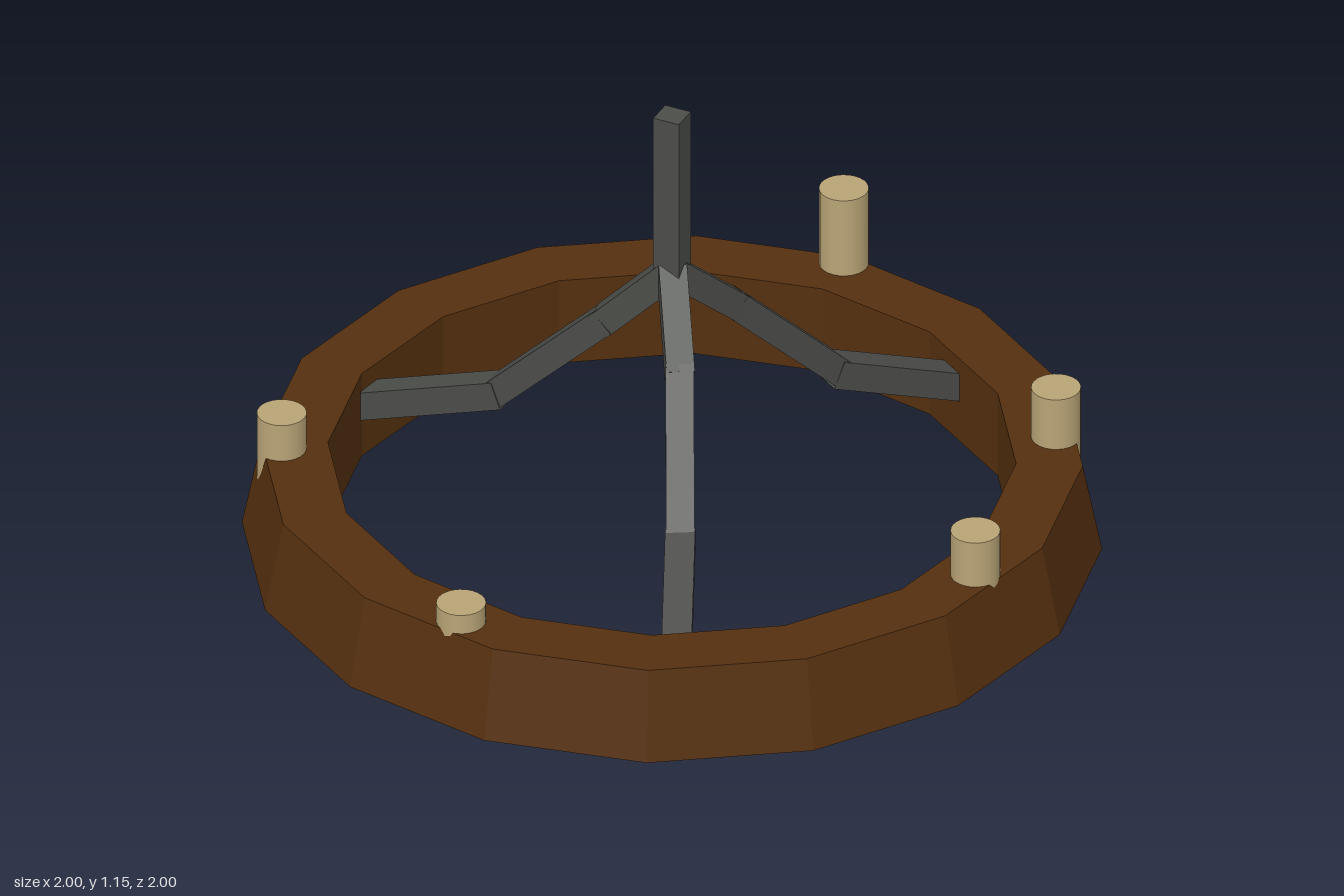
import * as THREE from 'three';

const wood = new THREE.MeshStandardMaterial({ name: 'darkWood', color: 0x55300f, flatShading: true });
const iron = new THREE.MeshStandardMaterial({ name: 'iron', color: 0x4b4d49, flatShading: true });
const wax = new THREE.MeshStandardMaterial({ name: 'wax', color: 0xb9a476 });

// Square bar running from a to b, overrunning each end slightly
function beam(name, a, b, overrun = 0.012, size = 0.066) {
  const from = new THREE.Vector3(...a), to = new THREE.Vector3(...b);
  const mesh = new THREE.Mesh(
    new THREE.BoxGeometry(size, size, from.distanceTo(to) + overrun * 2), iron);
  mesh.name = name;
  mesh.position.copy(from).add(to).multiplyScalar(0.5);
  mesh.lookAt(to);
  return mesh;
}

export function createModel() {
  const model = new THREE.Group();
  model.name = 'chandelier';

  // Sixteen-sided wooden ring with a sloping outer wall
  const profile = [[0.8, 0], [1, 0], [0.955, 0.225], [0.8, 0.225], [0.8, 0]]
    .map(([x, y]) => new THREE.Vector2(x, y));
  const ring = new THREE.Mesh(new THREE.LatheGeometry(profile, 16), wood);
  ring.name = 'ring';
  model.add(ring);

  // Hanging rod
  const rod = new THREE.Mesh(new THREE.BoxGeometry(0.066, 0.43, 0.064), iron);
  rod.name = 'hangingRod';
  rod.position.y = 0.935;
  model.add(rod);

  // Three bent arms: shoulder, knee and ring end
  const arms = [
    [[-0.17, 0.55, 0.01], [-0.45, 0.275, 0], [-0.85, 0.12, -0.027]],
    [[0.08, 0.555, -0.175], [0.22, 0.275, -0.425], [0.425, 0.12, -0.735]],
    [[0.095, 0.555, 0.155], [0.22, 0.275, 0.41], [0.38, 0.12, 0.765]],
  ];
  arms.forEach(([shoulder, knee, end]) => {
    const arm = new THREE.Group();
    arm.name = 'arm';
    arm.add(
      beam('armTop', [0, 0.725, 0], shoulder, 0.004),
      beam('armMiddle', shoulder, knee, 0.015),
      beam('armFoot', knee, end, 0.015, 0.07));
    model.add(arm);
  });

  // Candles set into the ring: x, z, top height
  const candles = [
    [-0.005, -0.925, 0.43], [0.77, -0.455, 0.36], [0.865, 0.17, 0.345],
    [-0.825, 0.375, 0.322], [-0.12, 0.875, 0.275],
  ];
  const base = 0.03;
  candles.forEach(([x, z, top]) => {
    const candle = new THREE.Mesh(new THREE.CylinderGeometry(0.058, 0.058, top - base, 24), wax);
    candle.name = 'candle';
    candle.position.set(x, (top + base) / 2, z);
    model.add(candle);
  });

  return model;
}
